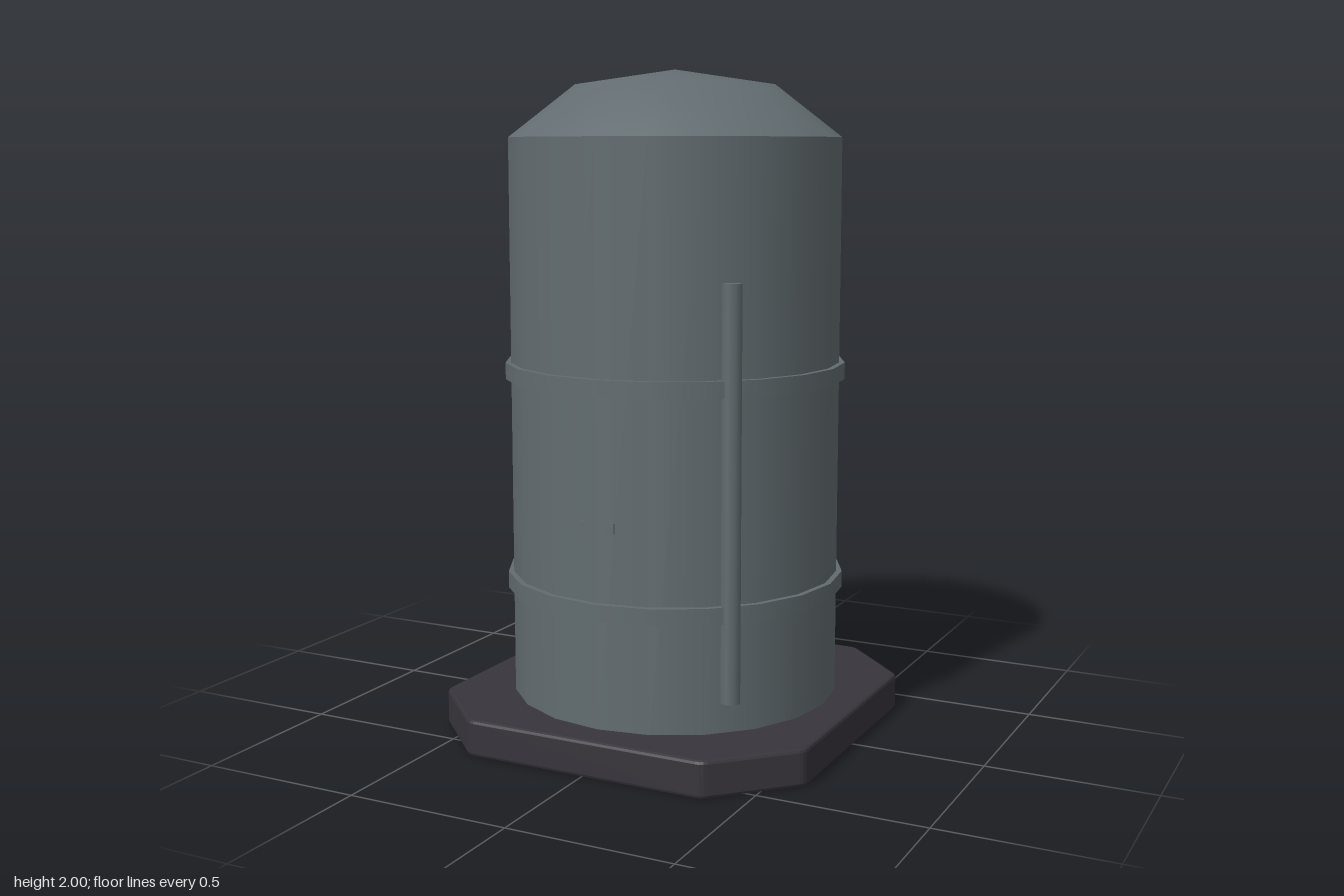
import * as THREE from 'three';

const SIDES = 20;

export function createModel() {
  const model = new THREE.Group();
  model.name = 'storageTank';

  const steel = new THREE.MeshStandardMaterial({ color: 0x626c70 });
  steel.name = 'grey steel';
  const plinth = new THREE.MeshStandardMaterial({ color: 0x38343c });
  plinth.name = 'dark plinth';

  const add = (name, geometry, material, x = 0, y = 0, z = 0) => {
    const mesh = new THREE.Mesh(geometry, material);
    mesh.name = name;
    mesh.position.set(x, y, z);
    model.add(mesh);
    return mesh;
  };

  // Octagonal base with softened corners and bevelled rims
  const bevel = 0.01, a = 0.59, b = 0.376, soft = 0.015;
  const corners = [[a, -b], [a, b], [b, a], [-b, a], [-a, b], [-a, -b], [-b, -a], [b, -a]]
    .map(([x, y]) => new THREE.Vector2(x, y));
  const toward = (p, q) => p.clone().add(q.clone().sub(p).setLength(soft));
  const outline = new THREE.Shape();
  corners.forEach((p, i) => {
    const start = toward(p, corners[(i + 7) % 8]);
    const end = toward(p, corners[(i + 1) % 8]);
    if (i === 0) outline.moveTo(start.x, start.y);
    else outline.lineTo(start.x, start.y);
    outline.quadraticCurveTo(p.x, p.y, end.x, end.y);
  });
  outline.closePath();
  const base = new THREE.ExtrudeGeometry(outline, {
    depth: 0.09, bevelThickness: bevel, bevelSize: bevel, bevelSegments: 2, curveSegments: 3,
  });
  base.rotateX(-Math.PI / 2);
  add('base', base, plinth, 0, bevel, 0);

  // Tank wall
  add('tankBody', new THREE.CylinderGeometry(0.5, 0.5, 1.7, SIDES), steel, 0, 0.95, 0);

  // Shallow domed roof
  const dome = [[0.5, 1.8], [0.3, 1.955], [0, 2]].map(([r, y]) => new THREE.Vector2(r, y));
  add('domeRoof', new THREE.LatheGeometry(dome, SIDES), steel);

  // Reinforcing hoops
  for (const [name, y] of [['lowerHoop', 0.46], ['upperHoop', 1.105]]) {
    add(name, new THREE.CylinderGeometry(0.517, 0.517, 0.05, SIDES), steel, 0, y, 0);
  }

  // Vertical pipe on the front left
  add('pipe', new THREE.CylinderGeometry(0.03, 0.03, 1.2, 8), steel, 0.354, 0.8, 0.354);

  // Small plate nearly flush with the front wall
  add('frontPlate', new THREE.BoxGeometry(0.11, 0.03, 0.009), steel, 0, 0.705, 0.4915);

  return model;
}
